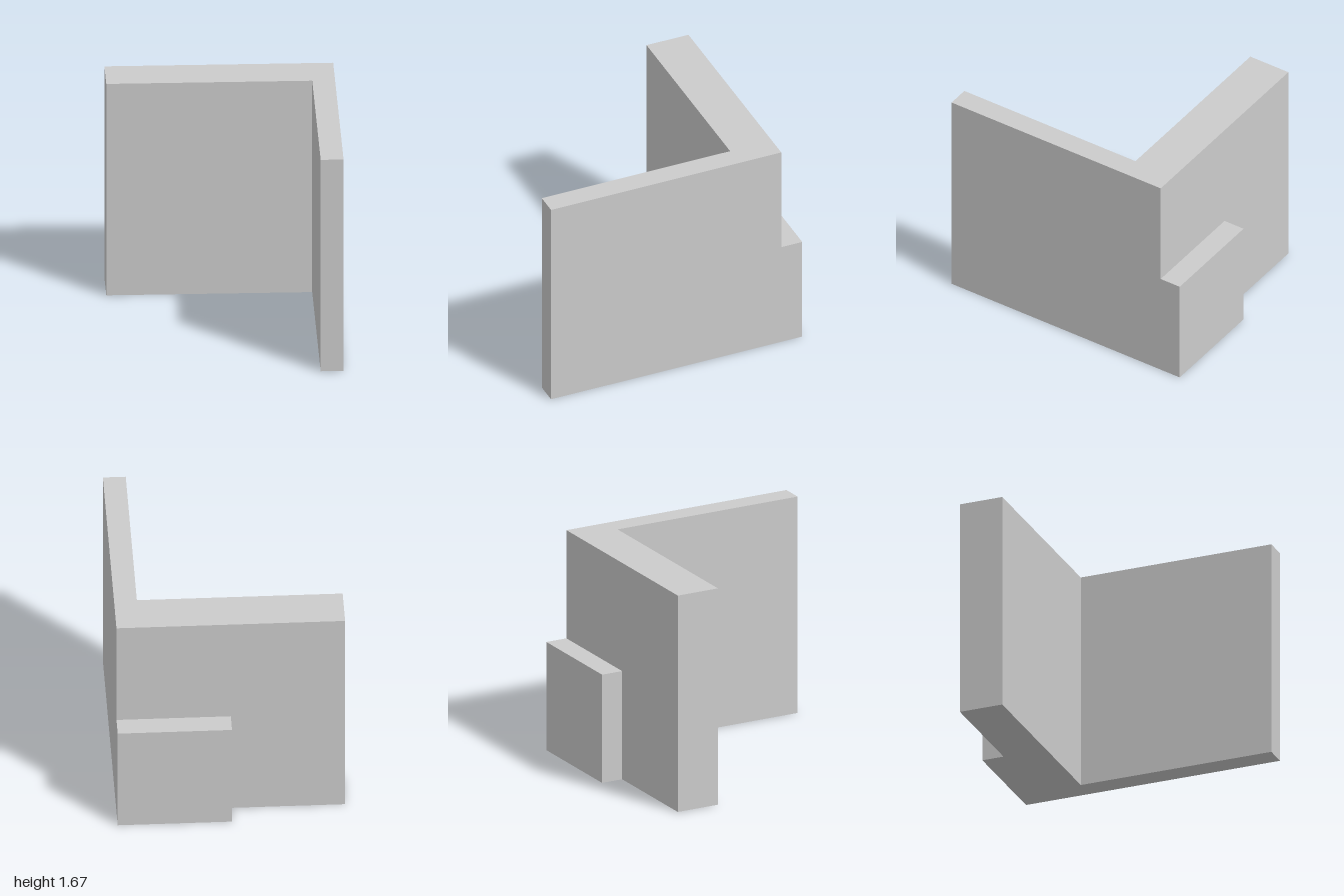
import * as THREE from 'three';

const U = 1 / 6; // grid module: every dimension is a whole number of units

export function createModel() {
  const group = new THREE.Group();
  const material = new THREE.MeshStandardMaterial({ color: 0xcccccc, flatShading: true });

  // Extrudes a floor plan of [x, z] corners, in units, up from the ground
  function addPrism(name, plan, height) {
    const shape = new THREE.Shape(plan.map(([x, z]) => new THREE.Vector2(x * U, -z * U)));
    const geometry = new THREE.ExtrudeGeometry(shape, { depth: height * U, bevelEnabled: false });
    geometry.rotateX(-Math.PI / 2);
    const mesh = new THREE.Mesh(geometry, material);
    mesh.name = name;
    group.add(mesh);
  }

  // L-shaped wall: thick back leg, thin side leg running forward
  addPrism('cornerWall', [[-5, -5], [-5, -3], [4, -3], [4, 6], [5, 6], [5, -5]], 10);

  // Half-height slab on the outside of the back leg
  addPrism('backSlab', [[0, -6], [0, -5], [5, -5], [5, -6]], 5);

  return group;
}
